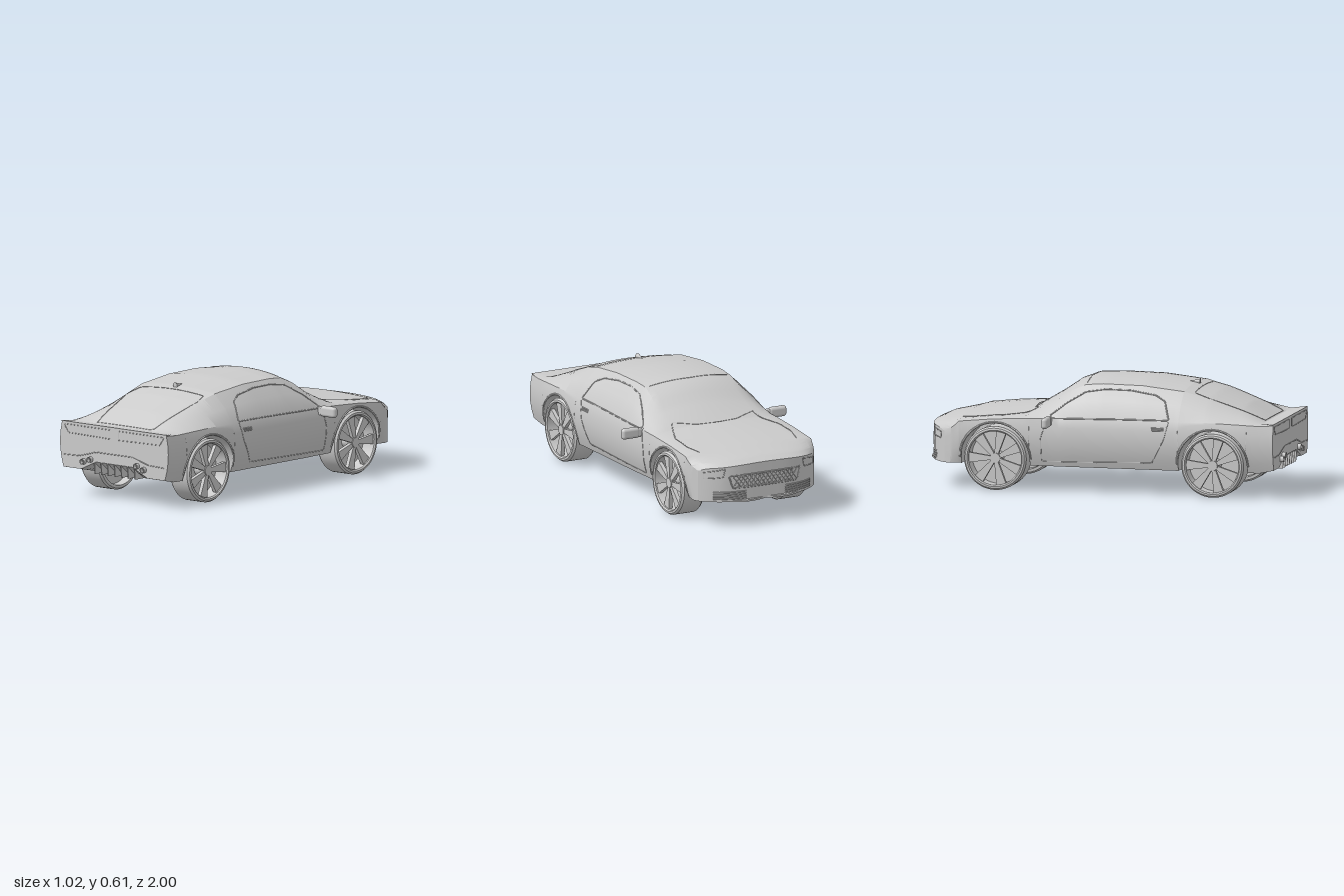
import * as THREE from 'three';
import { toCreasedNormals } from 'three/addons/utils/BufferGeometryUtils.js';
import { RoundedBoxGeometry } from 'three/addons/geometries/RoundedBoxGeometry.js';

const mat = new THREE.MeshStandardMaterial({ color: 0xcccccc, side: THREE.DoubleSide });
const V = (x, y, z) => new THREE.Vector3(x, y, z);
const lerp = THREE.MathUtils.lerp;
const clamp = THREE.MathUtils.clamp;
const WHEELS = [0.64, -0.58], ARCH = 0.192, HUB_Y = 0.175;

// Body stations: z, roof edge x, roof edge y, centre y, shoulder y, width factor
const STATIONS = [
  [-0.98, 0.27, 0.333, 0.345, 0.312, 0.89],
  [-0.93, 0.27, 0.355, 0.367, 0.335, 0.94],
  [-0.79, 0.28, 0.385, 0.396, 0.372, 0.975],
  [-0.6, 0.28, 0.405, 0.416, 0.39, 0.98],
  [-0.42, 0.3, 0.415, 0.432, 0.4, 0.985],
  [-0.28, 0.285, 0.48, 0.515, 0.405, 0.99],
  [-0.18, 0.27, 0.545, 0.582, 0.41, 1],
  [-0.1, 0.262, 0.58, 0.61, 0.41, 1],
  [0, 0.265, 0.588, 0.612, 0.41, 1],
  [0.22, 0.265, 0.585, 0.607, 0.41, 1],
  [0.45, 0.262, 0.56, 0.578, 0.41, 1.005],
  [0.6, 0.25, 0.52, 0.54, 0.41, 1],
  [0.76, 0.235, 0.462, 0.48, 0.405, 0.985],
  [0.9, 0.27, 0.404, 0.405, 0.4, 0.97],
  [0.98, 0.36, 0.411, 0.411, 0.405, 0.965],
];

function station(z) {
  let i = 0;
  while (i < STATIONS.length - 2 && z > STATIONS[i + 1][0]) i++;
  const a = STATIONS[i], b = STATIONS[i + 1], t = clamp((z - a[0]) / (b[0] - a[0]), 0, 1);
  return a.map((v, k) => lerp(v, b[k], t));
}

// Half cross-section from the floor centre, round the right hand flank, to the roof centre
function halfSection(z) {
  const [, xe, ye, yc, ys, w] = station(z);
  const nose = clamp((-z - 0.78) / 0.2, 0, 1), tail = clamp((z - 0.9) / 0.08, 0, 1);
  const floor = 0.14 + 0.018 * tail;
  let sill = floor;
  for (const c of WHEELS) {
    const d = z - c;
    if (Math.abs(d) < ARCH) sill = HUB_Y + Math.sqrt(ARCH * ARCH - d * d);
  }
  const flank = y => w * (0.405 - 1.3 * (1 - nose) * (y - 0.3) ** 2);
  const pts = [[0, floor + 0.05 * tail], [0.13, floor + 0.05 * tail], [0.24, floor], [0.24, sill]];
  for (let i = 0; i <= 5; i++) {
    const y = lerp(sill, ys, i / 5);
    pts.push([flank(y), y]);
  }
  pts.push([(flank(ys) + xe) / 2 + 0.012, (ys + ye) / 2 + 0.004]);
  for (let j = 0; j <= 7; j++) {
    const u = 1 - j / 7;
    pts.push([xe * u, yc - (yc - ye) * u * u]);
  }
  return pts.map(([x, y]) => V(x, y, z + 0.11 * nose * (x / 0.36) ** 4));
}

const ring = z => {
  const h = halfSection(z);
  return [...h, ...h.slice(1, -1).reverse().map(p => V(-p.x, p.y, p.z))];
};

function creased(points, index, angle = 0.5) {
  const g = new THREE.BufferGeometry().setFromPoints(points);
  g.setIndex(index);
  return toCreasedNormals(g, angle);
}

function shellGeometry() {
  const zs = [];
  for (let i = 0; i <= 49; i++) zs.push(-0.98 + 0.04 * i);
  STATIONS.forEach(s => zs.push(s[0]));
  for (const c of WHEELS) {
    for (let i = 0; i <= 20; i++) zs.push(c + ARCH * 0.9999 * Math.cos(Math.PI * i / 20));
    zs.push(c - ARCH - 0.0005, c + ARCH + 0.0005);
  }
  const sorted = zs.sort((a, b) => a - b).filter((z, i, all) => !i || z - all[i - 1] > 1e-5);
  const pts = [], idx = [], n = ring(0).length;
  sorted.forEach((z, s) => {
    pts.push(...ring(z));
    if (!s) return;
    for (let i = 0; i < n; i++) {
      const j = (i + 1) % n, p = (s - 1) * n, q = s * n;
      idx.push(p + i, p + j, q + j, p + i, q + j, q + i);
    }
  });
  return creased(pts, idx);
}

function noseGeometry() {
  const h = halfSection(-0.98).slice(9);
  const top = [...h, ...h.slice(0, -1).reverse().map(p => V(-p.x, p.y, p.z))];
  const pts = top.flatMap(p => [p, V(p.x, 0.14, p.z)]), idx = [];
  for (let i = 0; i < top.length - 1; i++) {
    const a = 2 * i;
    idx.push(a, a + 1, a + 2, a + 2, a + 1, a + 3);
  }
  return creased(pts, idx);
}

// Surface lookups used to lay trim on the body
function find(points, key, value, out) {
  for (let i = 1; i < points.length; i++) {
    const a = points[i - 1], b = points[i];
    if ((a[key] - value) * (b[key] - value) <= 0 && a[key] !== b[key]) {
      return lerp(a[out], b[out], (value - a[key]) / (b[key] - a[key]));
    }
  }
  return points[points.length - 1][out];
}
const onSide = (z, y) => V(find(halfSection(z).slice(4, 12), 'y', y, 'x'), y, z);
const onTop = (x, z) => V(x, find(halfSection(z).slice(9), 'x', Math.abs(x), 'y'), z);
const onNose = (x, y) => V(x, y, -0.98 + 0.11 * (x / 0.36) ** 4);
const onTail = (x, y) => V(x, y, 0.98);

export function createModel() {
  const car = new THREE.Group();
  car.name = 'sportsCoupe';
  const add = (name, geo, parent = car) => {
    const m = new THREE.Mesh(geo, mat);
    m.name = name;
    parent.add(m);
    return m;
  };
  // Thin strip along a 2D path projected on a body surface
  const strip = (name, surface, path, s = 1, r = 0.0025) => {
    const pts = [];
    path.forEach((p, i) => {
      if (!i) return pts.push(surface(...p));
      for (let k = 1; k <= 5; k++) {
        pts.push(surface(lerp(path[i - 1][0], p[0], k / 5), lerp(path[i - 1][1], p[1], k / 5)));
      }
    });
    pts.forEach(p => { p.x *= s; });
    const curve = new THREE.CatmullRomCurve3(pts, false, 'catmullrom', 0.1);
    add(name, new THREE.TubeGeometry(curve, pts.length * 2, r, 5), car);
  };

  // Body shell and its two ends
  add('bodyShell', shellGeometry());
  add('noseFascia', noseGeometry());
  const tail = new THREE.Shape(ring(0.98).map(p => new THREE.Vector2(p.x, p.y)));
  add('tailPanel', new THREE.ShapeGeometry(tail).translate(0, 0, 0.98));

  // Chin splitter with two lobes
  const lip = new THREE.Shape();
  lip.moveTo(-0.35, 0.86);
  lip.quadraticCurveTo(-0.26, 0.96, -0.13, 1.0);
  lip.quadraticCurveTo(-0.05, 1.0, 0, 0.975);
  lip.quadraticCurveTo(0.05, 1.0, 0.13, 1.0);
  lip.quadraticCurveTo(0.26, 0.96, 0.35, 0.86);
  add('splitter', new THREE.ExtrudeGeometry(lip, { depth: 0.01, bevelEnabled: false })
    .rotateX(-Math.PI / 2).translate(0, 0.138, 0));

  // Grille lattice and frame
  strip('grilleFrame', onNose, [[-0.22, 0.285], [0.22, 0.285], [0.2, 0.215], [-0.2, 0.215], [-0.22, 0.285]], 1, 0.004);
  for (let i = 0; i < 15; i++) {
    const x = -0.2 + i * 0.025;
    strip('grilleBar', onNose, [[x, 0.217], [x + 0.05, 0.283]]);
    strip('grilleBar', onNose, [[x + 0.05, 0.217], [x, 0.283]]);
  }

  // Glass edges across the car, and tail lines
  strip('windscreenBase', onTop, [[-0.25, -0.37], [-0.13, -0.415], [0, -0.43], [0.13, -0.415], [0.25, -0.37]]);
  strip('windscreenTop', onTop, [[-0.24, -0.1], [0, -0.115], [0.24, -0.1]]);
  strip('rearWindowFrame', onTop, [[-0.2, 0.89], [-0.245, 0.58], [-0.225, 0.5], [0.225, 0.5], [0.245, 0.58], [0.2, 0.89], [-0.2, 0.89]]);
  strip('bumperLine', onTail, [[-0.36, 0.227], [-0.25, 0.23], [-0.13, 0.262], [0.13, 0.262], [0.25, 0.23], [0.36, 0.227]]);

  // Diffuser fins
  for (let i = -3; i <= 3; i++) {
    const fin = new THREE.Shape([[-0.89, 0.14], [-0.975, 0.14], [-0.98, 0.208]].map(p => new THREE.Vector2(...p)));
    add('diffuserFin', new THREE.ExtrudeGeometry(fin, { depth: 0.006, bevelEnabled: false })
      .rotateY(Math.PI / 2).translate(i * 0.048 - 0.003, 0, 0));
  }

  // Roof aerial
  const aerial = add('aerial', new THREE.ConeGeometry(0.015, 0.06, 12).rotateX(-Math.PI / 2));
  aerial.position.set(0, 0.582, 0.445);

  const wheelGeo = {
    tyre: toCreasedNormals(new THREE.LatheGeometry([[0.15, 0], [0.166, 0.002], [0.175, 0.014], [0.175, 0.131], [0.166, 0.143],
      [0.155, 0.145], [0.148, 0.138], [0.148, 0.03], [0.15, 0]].map(p => new THREE.Vector2(...p)), 48), 0.6),
    disc: new THREE.CylinderGeometry(0.149, 0.149, 0.01, 40).translate(0, 0.055, 0),
    hub: new THREE.CylinderGeometry(0.028, 0.034, 0.08, 20).translate(0, 0.095, 0),
    spoke: new THREE.ExtrudeGeometry(new THREE.Shape([[-0.01, 0.02], [0.01, 0.02], [0.028, 0.149], [-0.028, 0.149]]
      .map(p => new THREE.Vector2(...p))), { depth: 0.022, bevelEnabled: false }).rotateX(-Math.PI / 2).translate(0, 0.108, 0),
  };

  for (const s of [1, -1]) {
    // Wheels and arch lips
    for (const c of WHEELS) {
      const wheel = new THREE.Group();
      wheel.name = c > 0 ? 'rearWheel' : 'frontWheel';
      add('tyre', wheelGeo.tyre, wheel);
      add('brakeDisc', wheelGeo.disc, wheel);
      add('hub', wheelGeo.hub, wheel);
      for (let i = 0; i < 7; i++) add('spoke', wheelGeo.spoke, wheel).rotation.y = i * Math.PI * 2 / 7;
      wheel.rotation.z = -s * Math.PI / 2;
      wheel.position.set(s * 0.25, HUB_Y, c);
      car.add(wheel);
      const arc = [];
      for (let i = 0; i <= 14; i++) {
        const a = Math.PI * i / 14;
        arc.push([c + 0.199 * Math.cos(a), HUB_Y + 0.199 * Math.sin(a)]);
      }
      strip('archLip', onSide, arc, s, 0.005);
    }

    // Side window, door and bonnet shut lines
    strip('sideWindowFrame', onSide, [[-0.27, 0.422], [-0.19, 0.485], [-0.09, 0.545], [0.02, 0.562], [0.16, 0.56],
      [0.3, 0.54], [0.36, 0.51], [0.395, 0.415], [0.1, 0.412], [-0.27, 0.405], [-0.27, 0.422]], s, 0.004);
    strip('doorLine', onSide, [[0.395, 0.41], [0.37, 0.31], [0.3, 0.18], [0, 0.172], [-0.32, 0.165], [-0.32, 0.3], [-0.29, 0.4]], s);
    strip('bonnetLine', onTop, [[0.25, -0.37], [0.32, -0.54], [0.325, -0.68], [0.3, -0.78]], s);
    for (let i = 0; i < 3; i++) {
      strip('doorHandle', onSide, [[0.3, 0.36 + i * 0.006], [0.37, 0.36 + i * 0.006]], s, 0.004);
    }

    // Lamps and lower vents
    strip('headlampFrame', onNose, [[0.24, 0.325], [0.34, 0.305], [0.34, 0.27], [0.25, 0.28], [0.24, 0.325]], s);
    for (let i = 0; i < 4; i++) strip('ventSlat', onNose, [[0.12, 0.157 + i * 0.012], [0.3, 0.157 + i * 0.012]], s, 0.004);
    strip('tailLampFrame', onTail, [[0.03, 0.395], [0.36, 0.395], [0.33, 0.35], [0.03, 0.345], [0.03, 0.395]], s, 0.002);

    // Exhaust pipes
    for (const [x, y] of [[0.168, 0.218], [0.217, 0.202]]) {
      const pipe = [[0.011, 0], [0.011, 0.05], [0.016, 0.05], [0.016, 0]].map(p => new THREE.Vector2(...p));
      add('exhaustPipe', toCreasedNormals(new THREE.LatheGeometry(pipe, 20), 0.6).rotateX(Math.PI / 2)
        .translate(s * x, y, 0.95));
    }

    // Door mirror
    add('mirrorHousing', new RoundedBoxGeometry(0.108, 0.06, 0.036, 5, 0.017)).position.set(s * 0.456, 0.391, -0.275);
    add('mirrorStem', new RoundedBoxGeometry(0.05, 0.045, 0.03, 2, 0.006)).position.set(s * 0.39, 0.39, -0.275);
  }
  return car;
}
